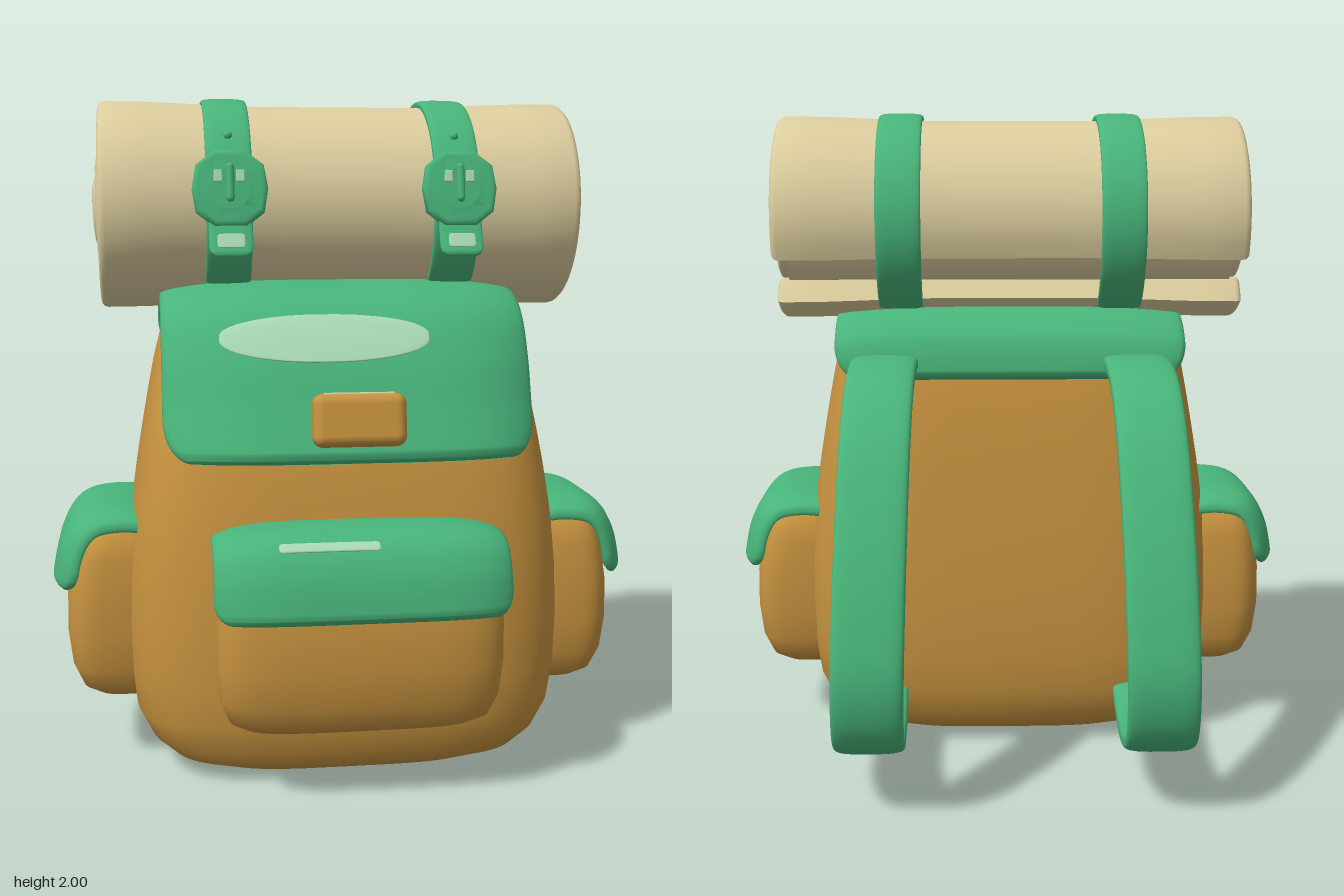
import * as THREE from 'three';
import { toCreasedNormals } from 'three/addons/utils/BufferGeometryUtils.js';
import { RoundedBoxGeometry } from 'three/addons/geometries/RoundedBoxGeometry.js';

const mat = (name, color) => {
  const m = new THREE.MeshStandardMaterial({ color });
  m.name = name;
  return m;
};
const V = (x, y, z) => new THREE.Vector3(x, y, z);
const spow = (v, e) => Math.sign(v) * Math.pow(Math.abs(v), e);

// Skin closed rings of points, with a fan cap at each end, faces outward
function loft(rings) {
  const n = rings[0].length, pts = rings.flat(), idx = [];
  for (let i = 0; i < rings.length - 1; i++) {
    for (let j = 0; j < n; j++) {
      const a = i * n + j, b = i * n + (j + 1) % n;
      idx.push(a, b, a + n, b, b + n, a + n);
    }
  }
  [0, rings.length - 1].forEach((r, end) => {
    const c = V(0, 0, 0);
    rings[r].forEach(p => c.addScaledVector(p, 1 / n));
    const ci = pts.push(c) - 1;
    for (let j = 0; j < n; j++) {
      const a = r * n + j, b = r * n + (j + 1) % n;
      if (end) idx.push(a, b, ci); else idx.push(b, a, ci);
    }
  });
  let volume = 0;
  for (let i = 0; i < idx.length; i += 3) {
    volume += pts[idx[i]].dot(V(0, 0, 0).crossVectors(pts[idx[i + 1]], pts[idx[i + 2]]));
  }
  if (volume < 0) idx.reverse();
  const g = new THREE.BufferGeometry().setFromPoints(pts);
  g.setIndex(idx);
  g.computeVertexNormals();
  return g;
}

// Soft box from rows of [y, half width, back z, front z]
function softBox(rows, power = 4, segs = 64) {
  return loft(rows.map(([y, w, zb, zf]) => Array.from({ length: segs }, (_, j) => {
    const a = j / segs * Math.PI * 2;
    return V(w * spow(Math.cos(a), 2 / power), y,
      (zb + zf) / 2 + (zf - zb) / 2 * spow(Math.sin(a), 2 / power));
  })));
}

const curveOf = pts => new THREE.CatmullRomCurve3(pts.map(([z, y]) => V(0, y, z)));
const normalAt = (curve, u) => {
  const t = curve.getTangentAt(u);
  return V(0, t.z, -t.y);
};
// Path lying a distance off part of another path
const offsetCurve = (curve, u0, u1, d) => new THREE.CatmullRomCurve3(
  Array.from({ length: 9 }, (_, i) => u0 + (u1 - u0) * i / 8)
    .map(u => curve.getPointAt(u).addScaledVector(normalAt(curve, u), d)));

// Padded band along a path in the yz plane; r and rx round its corners
function band(curve, { w, h, r = 0.03, rx = r, x = 0, slant = 0, bend = null, samples = 36 }) {
  const len = curve.getLength(), ds = new Set();
  for (let i = 0; i <= samples; i++) ds.add(len * i / samples);
  for (const f of [0.05, 0.2, 0.5, 1]) {
    for (const k of [h, r]) { ds.add(f * k); ds.add(len - f * k); }
  }
  const rounding = (d, k) => (d >= k ? 1 : Math.sqrt(Math.max(0, 1 - (1 - d / k) ** 2)));
  const rings = [...ds].filter(d => d >= 0 && d <= len).sort((a, b) => a - b).map(s => {
    const u = Math.min(1, s / len), d = Math.min(s, len - s);
    const c = curve.getPointAt(u), n = normalAt(curve, u);
    const ww = Math.max(0.001, w - rx * (1 - rounding(d, r)));
    const hh = h * Math.max(0.1, rounding(d, h));
    return Array.from({ length: 40 }, (_, j) => {
      const a = j / 40 * Math.PI * 2;
      const p = c.clone().addScaledVector(n, hh * spow(Math.sin(a), 0.5));
      p.x = x + slant * u + ww * spow(Math.cos(a), 0.65);
      if (bend) bend(p);
      return p;
    });
  });
  return loft(rings);
}

// Rolled sheet section: a spiral strip extruded along x
function rolledSheet(r0, r1, a0, a1, half, length, steps, move) {
  const n = 64, outer = [], inner = [], bevel = 0.02;
  for (let i = 0; i <= n; i++) {
    const a = a0 + (a1 - a0) * i / n, r = r0 + (r1 - r0) * i / n, k = half - bevel;
    outer.push(new THREE.Vector2(Math.cos(a) * (r + k), Math.sin(a) * (r + k)));
    inner.push(new THREE.Vector2(Math.cos(a) * (r - k), Math.sin(a) * (r - k)));
  }
  const g = new THREE.ExtrudeGeometry(new THREE.Shape([...outer, ...inner.reverse()]), {
    depth: length - 2 * bevel, steps, bevelSize: bevel, bevelThickness: bevel, bevelSegments: 3 });
  g.translate(0, 0, -length / 2 + bevel).rotateY(Math.PI / 2);
  const p = g.attributes.position, v = V(0, 0, 0);
  for (let i = 0; i < p.count; i++) {
    move(v.fromBufferAttribute(p, i));
    p.setXYZ(i, v.x, v.y, v.z);
  }
  return toCreasedNormals(g, 0.8);
}

export function createModel() {
  const canvas = mat('brown canvas', 0xc6923f);
  const green = mat('green cloth', 0x48b47a);
  const cream = mat('cream blanket', 0xdccd9e);
  const shine = mat('pale green shine', 0xaadcb4);
  const root = new THREE.Group();
  root.name = 'backpack';
  const add = (parent, name, geo, material) => {
    const m = new THREE.Mesh(geo, material);
    m.name = name;
    parent.add(m);
    return m;
  };

  // Main bag
  add(root, 'bag', softBox([
    [0, 0.28, -0.02, 0.42], [0.012, 0.43, -0.12, 0.54], [0.05, 0.54, -0.19, 0.605],
    [0.1, 0.595, -0.23, 0.635], [0.18, 0.635, -0.255, 0.655], [0.3, 0.654, -0.267, 0.66],
    [0.45, 0.66, -0.267, 0.655], [0.6, 0.655, -0.262, 0.645], [0.75, 0.642, -0.25, 0.628],
    [0.9, 0.62, -0.236, 0.6], [1.0, 0.603, -0.224, 0.575], [1.1, 0.585, -0.208, 0.54],
    [1.2, 0.565, -0.19, 0.49], [1.28, 0.545, -0.165, 0.44], [1.34, 0.51, -0.12, 0.38],
    [1.37, 0.44, -0.06, 0.3], [1.38, 0.3, 0, 0.22]]), canvas);

  // Lid folded over the top
  const lid = curveOf([[-0.205, 1.19], [-0.18, 1.3], [-0.1, 1.37], [0.1, 1.415], [0.3, 1.415],
    [0.43, 1.355], [0.52, 1.23], [0.58, 1.1], [0.645, 0.955]]);
  const lidBend = p => {
    const e = Math.min(1, Math.abs(p.x / 0.55)) ** 4;
    p.z -= 0.1 * e * THREE.MathUtils.clamp((p.z - 0.1) / 0.5, 0, 1);
    p.y -= 0.02 * e * THREE.MathUtils.clamp((p.y - 1.2) / 0.2, 0, 1);
  };
  add(root, 'lid', band(lid, { w: 0.545, h: 0.032, r: 0.12, rx: 0.08, bend: lidBend, samples: 48 }), green);
  add(root, 'lidShine', band(offsetCurve(lid, 0.645, 0.765, 0.033),
    { w: 0.305, h: 0.004, r: 0.07, rx: 0.3, x: -0.075, bend: lidBend }), shine);
  const clasp = add(root, 'clasp', new RoundedBoxGeometry(0.265, 0.15, 0.08, 4, 0.03), canvas);
  clasp.position.set(0, 1.085, 0.675);
  clasp.rotation.x = -0.2;
  const claspShine = add(clasp, 'claspShine', new RoundedBoxGeometry(0.2, 0.008, 0.045, 2, 0.003), cream);
  claspShine.position.set(0, 0.073, 0);

  // Pockets, each facing its own +z
  function pocket(name, w, x, z, turn) {
    const g = new THREE.Group();
    g.name = name;
    g.position.set(x, 0, z);
    g.rotation.y = turn;
    root.add(g);
    add(g, 'pocketBody', softBox([
      [0.2, w - 0.14, -0.08, 0.08], [0.207, w - 0.075, -0.1, 0.14], [0.235, w - 0.035, -0.1, 0.18],
      [0.3, w - 0.01, -0.1, 0.208], [0.4, w, -0.1, 0.22], [0.52, w, -0.1, 0.218],
      [0.64, w - 0.01, -0.1, 0.2], [0.71, w - 0.03, -0.1, 0.17], [0.755, w - 0.08, -0.1, 0.1]]), canvas);
    const fw = w + 0.008;
    const path = curveOf([[-0.06, 0.755], [0.07, 0.765], [0.16, 0.745], [0.205, 0.68], [0.235, 0.55]]);
    const bend = p => {
      const e = Math.min(1, Math.abs(p.x / fw)) ** 5;
      p.z -= 0.04 * e * (p.z > 0 ? p.z / 0.23 : 0);
      p.y -= 0.025 * e * THREE.MathUtils.clamp((p.y - 0.55) / 0.2, 0, 1);
    };
    add(g, 'pocketFlap', band(path, { w: fw, h: 0.03, r: 0.07, rx: 0.05, bend }), green);
    return { g, path };
  }
  const front = pocket('frontPocket', 0.41, 0, 0.62, 0);
  add(front.g, 'pocketShine', band(offsetCurve(front.path, 0.52, 0.57, 0.031),
    { w: 0.14, h: 0.004, r: 0.01, x: -0.1, samples: 8 }), shine);
  pocket('leftPocket', 0.262, 0.62, 0.18, Math.PI / 2);
  pocket('rightPocket', 0.262, -0.62, 0.18, -Math.PI / 2);

  // Shoulder straps
  const shoulder = curveOf([[-0.15, 1.24], [-0.3, 1.24], [-0.45, 1.195], [-0.6, 1.06], [-0.73, 0.84],
    [-0.82, 0.6], [-0.85, 0.42], [-0.8, 0.27], [-0.65, 0.185], [-0.45, 0.16], [-0.2, 0.19]]);
  for (const [side, s] of [['left', 1], ['right', -1]]) {
    add(root, side + 'ShoulderStrap', band(shoulder,
      { w: 0.102, h: 0.027, x: s * 0.385, slant: s * 0.045, samples: 64 }), green);
    add(root, side + 'StrapLining', band(offsetCurve(shoulder, 0.24, 0.57, 0.026),
      { w: 0.085, h: 0.004, x: s * 0.405 }), canvas);
  }

  // Bedroll
  const roll = new THREE.Group();
  roll.name = 'bedroll';
  roll.position.set(0, 1.675, 0.04);
  roll.scale.set(1, 0.95, 1.02);
  root.add(roll);
  const flare = v => {
    const k = 0.955 + 0.045 * THREE.MathUtils.smoothstep(Math.abs(v.x), 0.2, 0.66);
    v.y *= k;
    v.z *= k;
  };
  add(roll, 'outerLayer', rolledSheet(0.287, 0.285, -0.3, 5.32, 0.046, 1.44, 12, flare), cream);
  add(roll, 'innerSpiral', rolledSheet(0.05, 0.215, 0.4, 14.2, 0.031, 1.43, 1, v => {
    v.x *= 1 + 0.05 * Math.max(0, 1 - Math.hypot(v.y, v.z) / 0.25);
  }), cream);
  add(roll, 'rollCore', new THREE.CylinderGeometry(0.25, 0.25, 1.37, 40).rotateZ(Math.PI / 2), cream);

  // Bedroll straps with buckles
  const around = curveOf(Array.from({ length: 25 }, (_, i) => {
    const a = THREE.MathUtils.degToRad(238 - i * 285 / 24);
    return [0.035 + 0.34 * Math.cos(a), 1.675 + 0.311 * Math.sin(a)];
  }));
  const frame = new THREE.Shape(), win = new THREE.Path();
  [[0.04, 0.095], [0.085, 0.06], [0.095, 0], [0.085, -0.06], [0.04, -0.095]].forEach(([x, y], i) =>
    (i ? frame.lineTo(x, y) : frame.moveTo(x, y)));
  [[-0.04, -0.095], [-0.085, -0.06], [-0.095, 0], [-0.085, 0.06], [-0.04, 0.095]].forEach(([x, y]) => frame.lineTo(x, y));
  win.absellipse(0, 0, 0.06, 0.06, 0, Math.PI * 2, true);
  frame.holes.push(win);
  const frameGeo = toCreasedNormals(new THREE.ExtrudeGeometry(frame, {
    depth: 0.02, bevelSize: 0.015, bevelThickness: 0.012, bevelSegments: 3, curveSegments: 16 }), 0.9);
  for (const [side, s] of [['left', 1], ['right', -1]]) {
    const x = s * 0.338;
    add(root, side + 'RollStrap', band(around, { w: 0.068, h: 0.014, r: 0.015, x, samples: 64 }), green);
    const buckle = new THREE.Group();
    buckle.name = side + 'Buckle';
    buckle.position.set(x, 1.722, 0.385);
    buckle.rotation.x = -0.2;
    root.add(buckle);
    add(buckle, 'buckleFrame', frameGeo, green);
    add(buckle, 'bucklePlate', new RoundedBoxGeometry(0.14, 0.15, 0.03, 3, 0.012), green).position.z = 0.012;
    add(buckle, 'prong', new THREE.CapsuleGeometry(0.012, 0.09, 4, 10), green).position.set(0, 0.015, 0.034);
    for (const dx of [-0.035, 0.03]) {
      add(buckle, 'buckleShine', new RoundedBoxGeometry(0.025, 0.035, 0.008, 2, 0.003), shine)
        .position.set(dx, 0.035, 0.029);
    }
    const tail = curveOf([[0.395, 1.68], [0.42, 1.61], [0.455, 1.53]].map(([z, y]) => [z, y]));
    add(root, side + 'StrapTail', band(tail, { w: 0.064, h: 0.012, r: 0.03, x, samples: 12 }), green);
    add(root, side + 'TailShine', band(offsetCurve(tail, 0.58, 0.85, 0.012),
      { w: 0.04, h: 0.003, r: 0.01, x, samples: 6 }), shine);
    add(root, side + 'StrapStud', new THREE.SphereGeometry(0.013, 12, 8), green).position.set(x, 1.88, 0.311);
  }
  return root;
}
